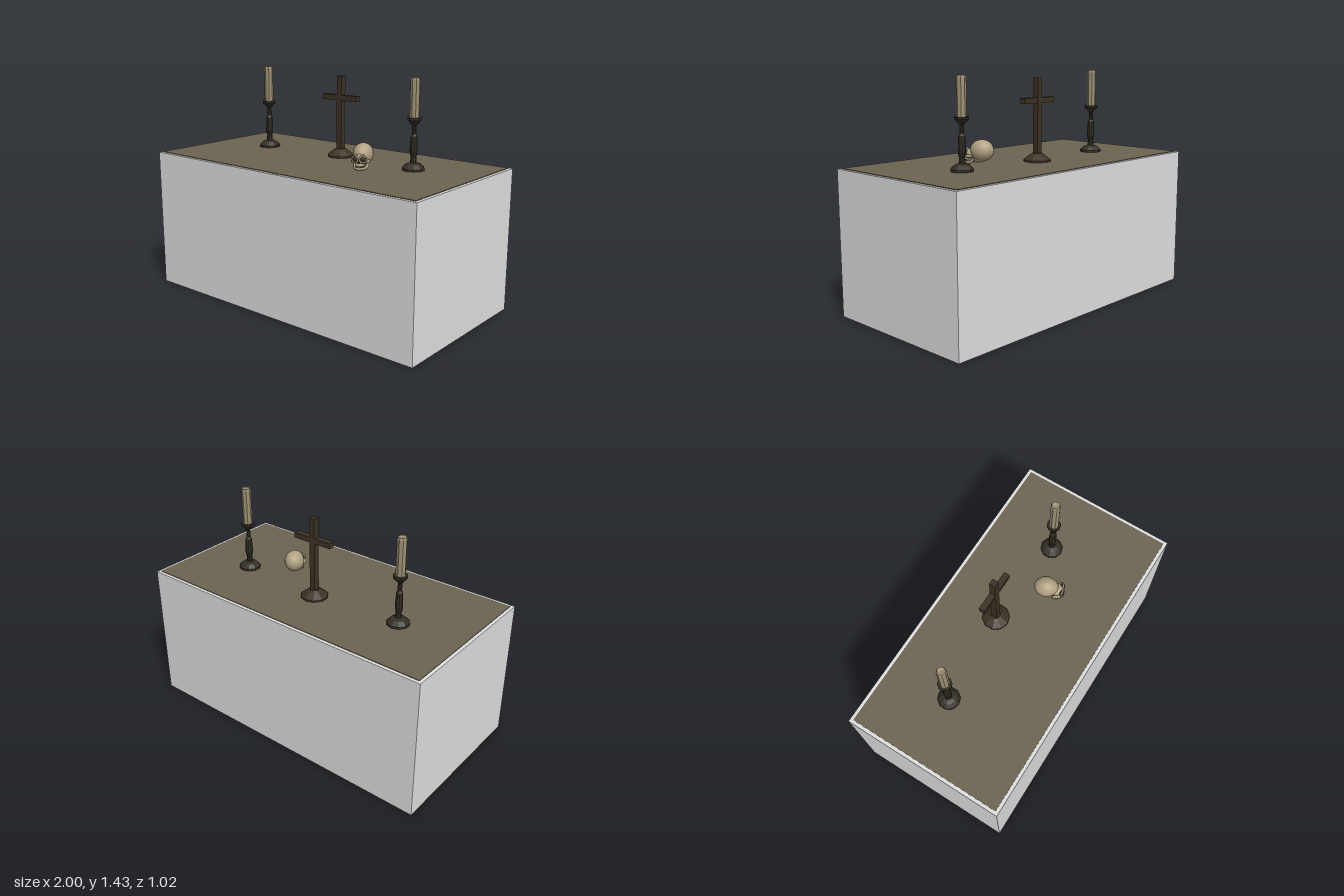
import * as THREE from 'three';

const paint = (name, color) => {
  const m = new THREE.MeshStandardMaterial({ color });
  m.name = name;
  return m;
};

export function createModel() {
  const cloth = paint('cloth', 0xe0e0e0);
  const tableTop = paint('brown top', 0x6d6452);
  const wood = paint('dark wood', 0x3d3225);
  const iron = paint('dark iron', 0x342e25);
  const wax = paint('wax', 0x9d9074);
  const bone = paint('bone', 0xb0a182);
  const hollow = paint('hollow', 0x33291f);

  const group = (name, parent, x = 0, y = 0, z = 0) => {
    const g = new THREE.Group();
    g.name = name;
    g.position.set(x, y, z);
    if (parent) parent.add(g);
    return g;
  };
  const add = (parent, name, geo, mat, x = 0, y = 0, z = 0) => {
    const m = new THREE.Mesh(geo, mat);
    m.name = name;
    m.position.set(x, y, z);
    parent.add(m);
    return m;
  };
  const box = (w, h, d) => new THREE.BoxGeometry(w, h, d);

  // Faceted turned part from [radius, height] pairs, bottom to top
  const turned = (points, sides) => {
    const lathe = new THREE.LatheGeometry(points.map(([r, y]) => new THREE.Vector2(r, y)), sides);
    const geo = lathe.toNonIndexed();
    geo.computeVertexNormals();
    return geo;
  };
  const ball = (rx, ry, rz, w = 16, h = 12) => new THREE.SphereGeometry(1, w, h).scale(rx, ry, rz);

  const model = group('altar');

  // Draped block with an inset top and a recessed-looking underside
  add(model, 'drape', box(2, 0.888, 1.02), cloth, 0, 0.446, 0);
  add(model, 'topPanel', box(1.96, 0.008, 0.98), tableTop, 0, 0.89, 0);
  add(model, 'underside', box(1.83, 0.006, 0.85), tableTop, 0, 0.003, 0);

  const top = 0.893;

  // Pair of candlesticks
  const stick = turned([
    [0, 0], [0.068, 0], [0.068, 0.014], [0.046, 0.036], [0.02, 0.046], [0.017, 0.075],
    [0.024, 0.11], [0.02, 0.2], [0.013, 0.212], [0.013, 0.262], [0.022, 0.272],
    [0.042, 0.294], [0.042, 0.308], [0, 0.308],
  ], 10);
  const candle = turned([
    [0, 0], [0.029, 0], [0.029, 0.215], [0.024, 0.229], [0.016, 0.229], [0, 0.224],
  ], 8);
  for (const side of [-1, 1]) {
    const g = group(side > 0 ? 'leftCandlestick' : 'rightCandlestick', model, side * 0.578, top, -0.09);
    add(g, 'holder', stick, iron);
    add(g, 'candle', candle, wax, 0, 0.308, 0);
  }

  // Standing cross
  const cross = group('cross', model, 0, top, -0.135);
  add(cross, 'foot', turned([[0, 0], [0.084, 0], [0.084, 0.012], [0.045, 0.042], [0.03, 0.052], [0, 0.052]], 10), wood);
  add(cross, 'post', box(0.037, 0.48, 0.038), wood, 0, 0.267, 0);
  add(cross, 'arm', box(0.264, 0.033, 0.037), wood, 0, 0.372, 0);

  // Skull, built facing +z and then turned
  const skull = group('skull', model, 0.305, top, 0.035);
  skull.rotation.y = 0.42;

  // Cranium narrows toward the brow
  const cranium = ball(0.062, 0.066, 0.075, 18, 14);
  const p = cranium.attributes.position;
  for (let i = 0; i < p.count; i++) {
    const z = p.getZ(i);
    if (z > 0) p.setX(i, p.getX(i) * (1 - 1.8 * z));
  }
  cranium.computeVertexNormals();
  add(skull, 'cranium', cranium, bone, 0, 0.08, 0).rotation.x = 0.12;

  add(skull, 'face', ball(0.04, 0.036, 0.045), bone, 0, 0.057, 0.064);
  add(skull, 'upperJaw', ball(0.029, 0.016, 0.034), bone, 0, 0.032, 0.08);
  add(skull, 'noseHole', ball(0.007, 0.011, 0.008, 8, 6), hollow, 0, 0.05, 0.106);
  add(skull, 'teethGap', box(0.04, 0.005, 0.02), hollow, 0, 0.021, 0.094);
  add(skull, 'skullBase', ball(0.034, 0.022, 0.04), bone, 0, 0.03, 0.025);

  // Lower jaw: a bent bar around the chin
  const jawPath = new THREE.CatmullRomCurve3([
    [-0.04, 0.04, 0.035], [-0.036, 0.014, 0.055], [-0.018, 0.01, 0.098],
    [0.018, 0.01, 0.098], [0.036, 0.014, 0.055], [0.04, 0.04, 0.035],
  ].map((v) => new THREE.Vector3(...v)));
  add(skull, 'lowerJaw', new THREE.TubeGeometry(jawPath, 20, 0.009, 6), bone);

  for (const s of [-1, 1]) {
    add(skull, 'eyeSocket', ball(0.018, 0.018, 0.016, 10, 8), hollow, s * 0.022, 0.067, 0.096);
    const rim = add(skull, 'eyeRim', new THREE.TorusGeometry(0.02, 0.006, 6, 12), bone, s * 0.023, 0.067, 0.1);
    rim.rotation.y = s * 0.3;
    const cheek = add(skull, 'cheekbone', ball(0.009, 0.009, 0.036, 8, 8), bone, s * 0.046, 0.05, 0.068);
    cheek.rotation.y = -s * 0.15;
  }
  return model;
}
